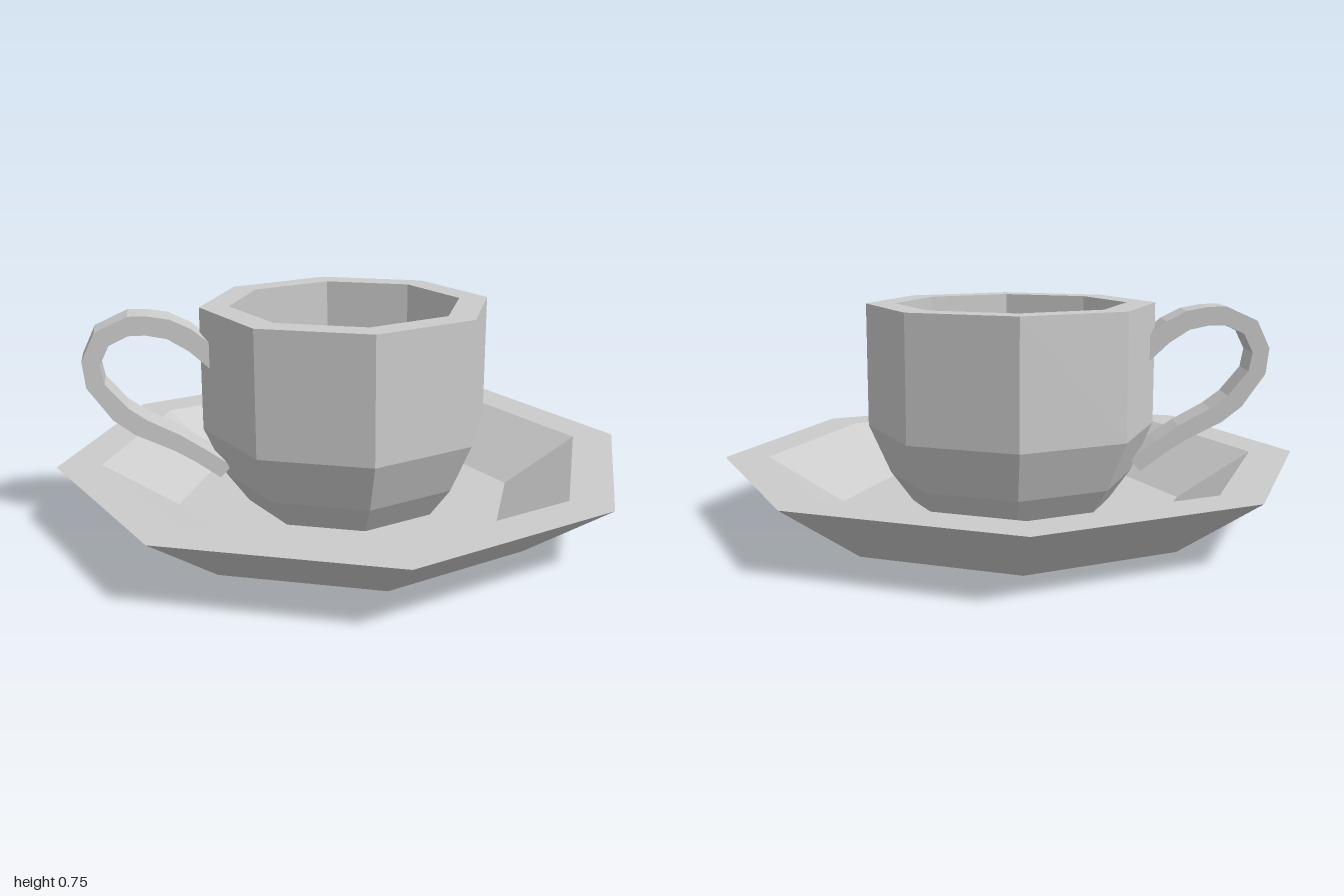
import * as THREE from 'three';

const material = new THREE.MeshStandardMaterial({ color: 0xcccccc, flatShading: true });
const toVectors = (pts) => pts.map(([x, y]) => new THREE.Vector2(x, y));

// Eight-sided turned part from a profile of [radius, height]
function octagonal(name, profile) {
  const mesh = new THREE.Mesh(new THREE.LatheGeometry(toVectors(profile), 8), material);
  mesh.name = name;
  return mesh;
}

export function createModel() {
  const group = new THREE.Group();
  group.name = 'cupAndSaucer';

  // Saucer: sloping sides, flat rim, sunken floor
  group.add(octagonal('saucer', [
    [0, 0], [0.7, 0], [1, 0.21], [0.85, 0.21], [0.595, 0.046], [0, 0.046],
  ]));

  // Cup: two tapering bands below a straight wall, hollow inside
  group.add(octagonal('cup', [
    [0, 0.035], [0.34, 0.035], [0.425, 0.15], [0.5, 0.32], [0.5, 0.745],
    [0.4, 0.745], [0.4, 0.4], [0.335, 0.235], [0.28, 0.13], [0, 0.13],
  ]));

  // Handle: flat strap following an ear-shaped outline
  const outer = [
    [-0.46, 0.625], [-0.53, 0.685], [-0.6, 0.72], [-0.67, 0.733], [-0.735, 0.735],
    [-0.845, 0.685], [-0.89, 0.59], [-0.88, 0.5], [-0.8, 0.385], [-0.73, 0.33],
    [-0.6, 0.265], [-0.53, 0.22], [-0.45, 0.16],
  ];
  const inner = [
    [-0.46, 0.535], [-0.54, 0.61], [-0.61, 0.655], [-0.68, 0.67], [-0.735, 0.67],
    [-0.8, 0.64], [-0.832, 0.575], [-0.82, 0.51], [-0.75, 0.425], [-0.69, 0.38],
    [-0.58, 0.32], [-0.5, 0.265], [-0.41, 0.2],
  ];
  const strap = new THREE.Shape(toVectors([...outer, ...inner.reverse()]));
  const geometry = new THREE.ExtrudeGeometry(strap, { depth: 0.125, bevelEnabled: false });
  geometry.translate(0, 0, -0.064);
  const handle = new THREE.Mesh(geometry, material);
  handle.name = 'handle';
  group.add(handle);

  return group;
}
